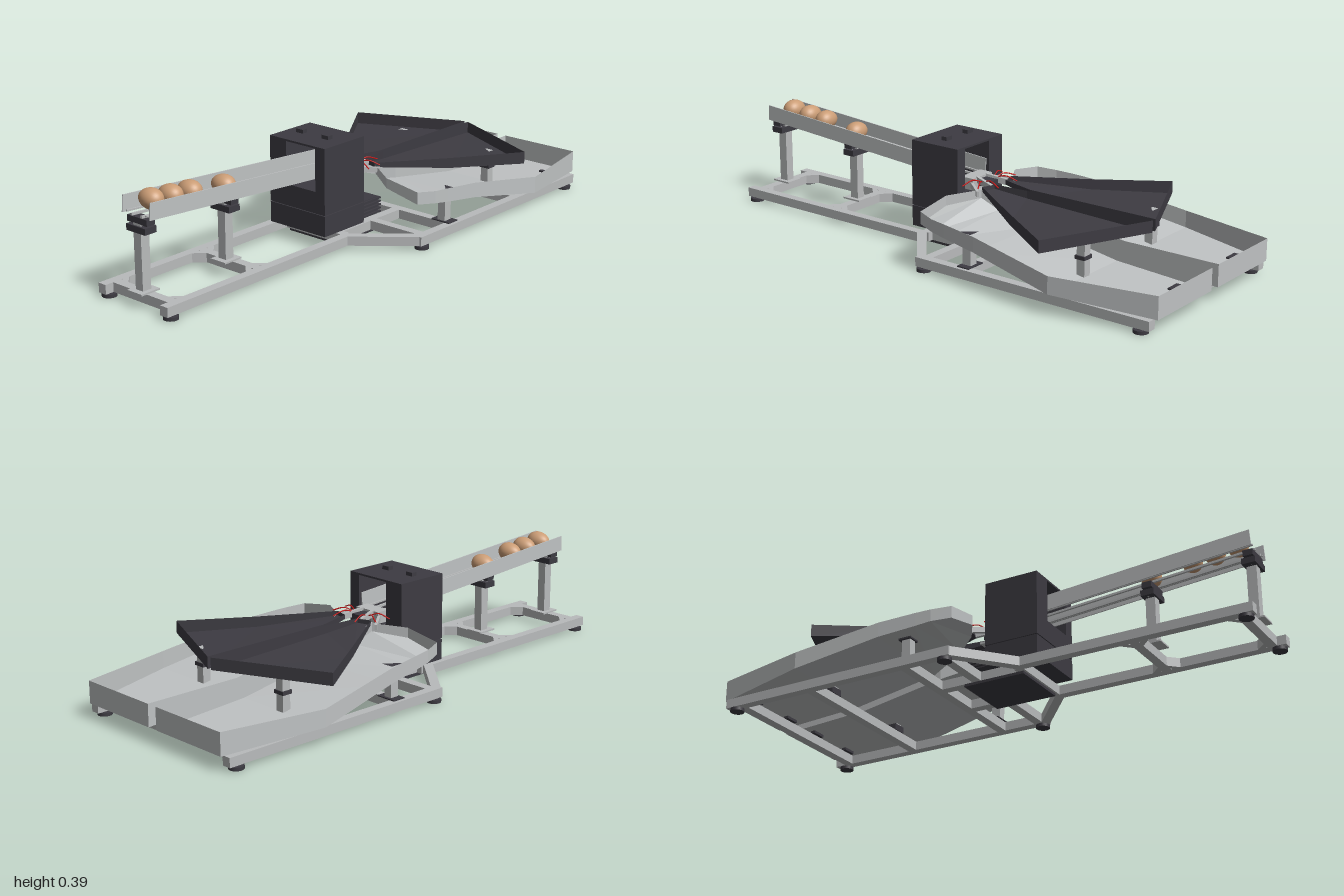
import * as THREE from 'three';

const mat = (name, color, extra = {}) => Object.assign(new THREE.MeshStandardMaterial({ color, ...extra }), { name });

export function createModel() {
  const root = new THREE.Group();
  root.name = 'sortingMachine';
  const steel = mat('frame steel', 0xb9bbbc);
  const sheet = mat('tray sheet metal', 0xbfc2c3, { side: THREE.DoubleSide });
  const dark = mat('dark housing', 0x3d3b42);
  const darkSheet = mat('dark sheet', 0x3d3b42, { side: THREE.DoubleSide });
  const shell = mat('egg shell', 0xcb9d76);
  const red = mat('red wire', 0xd01818);

  const add = (name, geo, material, x = 0, y = 0, z = 0) => {
    const m = new THREE.Mesh(geo, material);
    m.name = name;
    m.position.set(x, y, z);
    root.add(m);
    return m;
  };
  // box given by its extents
  const box = (name, material, x0, x1, y0, y1, z0, z1) =>
    add(name, new THREE.BoxGeometry(x1 - x0, y1 - y0, z1 - z0), material, (x0 + x1) / 2, (y0 + y1) / 2, (z0 + z1) / 2);
  // bar running between two points
  const bar = (name, material, a, b, w, h) => {
    const p = new THREE.Vector3(...a), q = new THREE.Vector3(...b);
    const m = add(name, new THREE.BoxGeometry(w, h, p.distanceTo(q)), material);
    m.position.copy(p).add(q).multiplyScalar(0.5);
    m.lookAt(q);
    return m;
  };
  // flat shaded surface from quads of points
  const quads = (name, material, list) => {
    const pos = [];
    for (const [a, b, c, d] of list) pos.push(...a, ...b, ...c, ...a, ...c, ...d);
    const g = new THREE.BufferGeometry();
    g.setAttribute('position', new THREE.Float32BufferAttribute(pos, 3));
    g.computeVertexNormals();
    return add(name, g, material);
  };

  // base frame
  const fy = 0.033, t = 0.034;
  for (const s of [-1, 1]) {
    bar('frontRail', steel, [s * 0.146, fy, 1], [s * 0.146, fy, 0.11], t, t);
    bar('diagonalRail', steel, [s * 0.146, fy, 0.13], [s * 0.347, fy, -0.04], t, t);
    bar('rearRail', steel, [s * 0.347, fy, -0.025], [s * 0.347, fy, -0.98], t, t);
    bar('innerRail', steel, [s * 0.1, fy, 0.12], [s * 0.1, fy, -0.22], t, t);
    // corner gussets on the front cross members
    for (const [z, d] of [[0.95, -1], [0.56, 1], [0.56, -1]])
      bar('gusset', steel, [s * 0.135, fy, z + d * 0.045], [s * 0.1, fy, z + d * 0.01], 0.02, t);
    // feet
    for (const [x, z] of [[0.146, 0.97], [0.347, -0.05], [0.347, -0.94]]) {
      add('foot', new THREE.CylinderGeometry(0.026, 0.026, 0.012, 20), dark, s * x, 0.006, z);
      add('footStem', new THREE.CylinderGeometry(0.012, 0.012, 0.01, 12), dark, s * x, 0.014, z);
    }
  }
  for (const z of [0.95, 0.56, 0.12]) box('frontCrossMember', steel, -0.14, 0.14, 0.016, 0.05, z - 0.017, z + 0.017);
  for (const z of [-0.06, -0.22, -0.62, -0.92]) box('rearCrossMember', steel, -0.34, 0.34, 0.016, 0.05, z - 0.017, z + 0.017);

  // housing with a passage through it
  const block = new THREE.Shape([[-0.147, 0.132], [0.112, 0.132], [0.112, 0.375], [-0.147, 0.375]].map(p => new THREE.Vector2(...p)));
  block.holes.push(new THREE.Path([[-0.07, 0.21], [-0.07, 0.368], [0.068, 0.368], [0.068, 0.21]].map(p => new THREE.Vector2(...p))));
  add('upperHousing', new THREE.ExtrudeGeometry(block, { depth: 0.21, bevelEnabled: false }), dark, 0, 0, -0.01);
  box('lowerHousing', dark, -0.147, 0.112, 0.052, 0.128, -0.01, 0.2);
  box('housingSeam', dark, -0.142, 0.107, 0.126, 0.134, -0.005, 0.195);
  box('rearHousing', dark, -0.13, 0.1, 0.06, 0.125, -0.1, -0.01);
  for (let i = 0; i < 5; i++) box('coolingRib', dark, -0.14, 0.108, 0.065 + i * 0.013, 0.071 + i * 0.013, -0.11, -0.01);
  box('bottomPlate', dark, -0.12, 0.112, 0.005, 0.015, -0.11, 0.13);
  for (const x of [-0.086, 0.034]) box('topKnob', dark, x - 0.016, x + 0.016, 0.375, 0.389, 0.09, 0.112);

  // infeed chute
  for (const s of [-1, 1]) {
    bar('chuteWall', sheet, [s * 0.064, 0.338, 0.97], [s * 0.064, 0.272, 0.0], 0.004, 0.058);
    bar('innerRod', steel, [s * 0.023, 0.311, 0.97], [s * 0.023, 0.245, 0.0], 0.008, 0.008);
    bar('outerRod', steel, [s * 0.045, 0.318, 0.97], [s * 0.045, 0.252, 0.0], 0.006, 0.006);
  }
  for (const [z, top] of [[0.95, 0.285], [0.575, 0.26]]) {
    box('chutePost', steel, -0.018, 0.016, 0.05, top, z - 0.018, z + 0.018);
    box('postBase', steel, -0.035, 0.033, 0.05, 0.056, z - 0.04, z + 0.04);
    box('chuteClamp', dark, -0.044, 0.044, top - 0.03, top - 0.008, z - 0.025, z + 0.025);
    box('chuteCradle', dark, -0.046, 0.046, top - 0.002, top + 0.02, z - 0.018, z + 0.018);
    for (const x of [-0.027, 0.025]) add('clampBolt', new THREE.CylinderGeometry(0.006, 0.006, 0.05, 10), steel, x, top - 0.005, z);
  }

  // eggs lying across the rods
  for (const [z, y] of [[0.9, 0.35], [0.815, 0.342], [0.73, 0.335], [0.575, 0.316]]) {
    const profile = [];
    for (let i = 0; i <= 20; i++) {
      const a = Math.PI * i / 20;
      profile.push(new THREE.Vector2(Math.sin(a) * 0.036 * (1 + 0.1 * Math.cos(a)), -Math.cos(a) * 0.048));
    }
    add('egg', new THREE.LatheGeometry(profile, 28), shell, -0.006, y, z).rotation.z = Math.PI / 2;
  }

  // outlet mechanism behind the housing
  box('outletBlock', steel, -0.055, 0.055, 0.215, 0.258, -0.035, 0.02);
  box('outletCore', dark, -0.02, 0.02, 0.225, 0.25, -0.09, -0.035);
  box('outletPlate', steel, -0.03, 0.03, 0.205, 0.213, -0.1, -0.01);
  for (const s of [-1, 1]) {
    bar('flipperArm', steel, [s * 0.025, 0.25, -0.03], [s * 0.045, 0.238, -0.11], 0.012, 0.022);
    bar('guideArm', steel, [s * 0.055, 0.235, -0.03], [s * 0.11, 0.228, -0.1], 0.01, 0.02);
    for (const [x, z] of [[0.11, -0.1], [0.115, -0.035], [0.055, -0.15]]) {
      const path = new THREE.CatmullRomCurve3([
        new THREE.Vector3(s * 0.03, 0.245, -0.06),
        new THREE.Vector3(s * (x + 0.03) / 2, 0.26, (z - 0.06) / 2),
        new THREE.Vector3(s * x, 0.246, z)]);
      add('wire', new THREE.TubeGeometry(path, 10, 0.0022, 6), red);
    }
  }

  // collecting trays: z, inner x, outer x, floor y inner and outer, rim y inner and outer
  const stations = [
    [-1, 0.02, 0.345, 0.054, 0.054, 0.135, 0.135],
    [-0.63, 0.02, 0.423, 0.075, 0.075, 0.135, 0.138],
    [-0.3, 0.02, 0.39, 0.13, 0.135, 0.18, 0.19],
    [-0.16, 0.065, 0.373, 0.17, 0.15, 0.215, 0.2],
    [-0.1, 0.09, 0.365, 0.21, 0.158, 0.24, 0.203],
    [-0.03, 0.2, 0.34, 0.195, 0.165, 0.232, 0.21]];
  // upper deflector outline: x, z, floor y
  const outline = [[0.008, -0.76, 0.2], [0.405, -0.58, 0.198], [0.245, -0.34, 0.205],
    [0.085, -0.1, 0.232], [0.032, -0.115, 0.232], [0.008, -0.24, 0.215]];
  for (const s of [-1, 1]) {
    const rows = stations.map(([z, xi, xo, fi, fo, ti, to]) =>
      [[s * xi, ti, z], [s * xi, fi, z], [s * xo, fo, z], [s * xo, to, z]]);
    const faces = [rows[0], rows[rows.length - 1]];
    for (let i = 0; i + 1 < rows.length; i++)
      for (let k = 0; k < 3; k++) faces.push([rows[i][k], rows[i][k + 1], rows[i + 1][k + 1], rows[i + 1][k]]);
    quads('collectingTray', sheet, faces);

    const low = outline.map(([x, z, y]) => [s * x, y, z]);
    const high = outline.map(([x, z]) => [s * x, z > -0.2 ? 0.248 : 0.243, z]);
    const rim = low.map((p, i) => {
      const j = (i + 1) % low.length;
      return [p, low[j], high[j], high[i]];
    });
    rim.push([low[0], low[1], low[2], low[5]], [low[2], low[3], low[4], low[5]]);
    quads('upperDeflector', darkSheet, rim);

    // tray and deflector supports
    box('trayPost', steel, s * 0.311 - 0.016, s * 0.311 + 0.016, 0.05, 0.132, -0.24, -0.206);
    box('trayPostCap', dark, s * 0.311 - 0.025, s * 0.311 + 0.025, 0.132, 0.138, -0.25, -0.2);
    box('trayPostBase', dark, s * 0.311 - 0.04, s * 0.311 + 0.04, 0.05, 0.054, -0.25, -0.2);
    quads('trayBracket', darkSheet, [[[s * 0.34, 0.172, -0.25], [s * 0.29, 0.172, -0.25], [s * 0.335, 0.172, -0.2], [s * 0.34, 0.172, -0.2]]]);
    box('deflectorPost', steel, s * 0.207 - 0.016, s * 0.207 + 0.016, 0.05, 0.2, -0.636, -0.604);
    box('deflectorPostBase', dark, s * 0.207 - 0.027, s * 0.207 + 0.027, 0.05, 0.074, -0.64, -0.6);
    box('deflectorPostCollar', dark, s * 0.207 - 0.022, s * 0.207 + 0.022, 0.135, 0.148, -0.64, -0.6);
    for (const x of [0.085, 0.29]) box('traySlot', dark, s * x - 0.028, s * x + 0.028, 0.05, 0.066, -0.908, -0.89);
  }
  return root;
}
